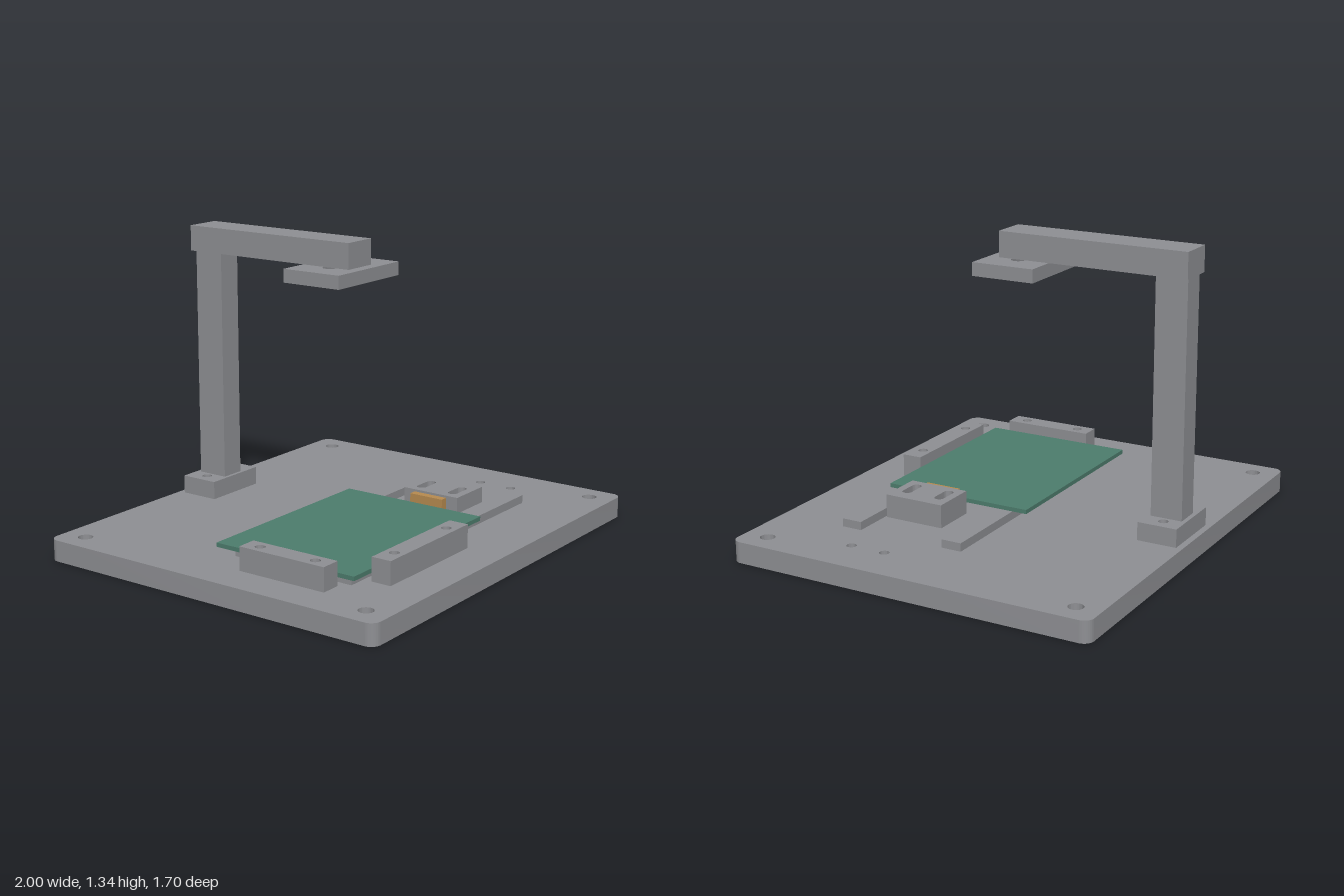
import * as THREE from 'three';
import { toCreasedNormals } from 'three/addons/utils/BufferGeometryUtils.js';

const material = (name, color) => {
  const m = new THREE.MeshStandardMaterial({ color });
  m.name = name;
  return m;
};

// Outline of a slot (or a round hole when half = 0) running along x
function slotPath(x, z, r, half = 0) {
  const p = new THREE.Path();
  p.absarc(x + half, -z, r, -Math.PI / 2, Math.PI / 2, false);
  p.absarc(x - half, -z, r, Math.PI / 2, Math.PI * 1.5, false);
  p.closePath();
  return p;
}

// Rectangle in plan with optional rounded corners
function planShape(x0, x1, z0, z1, r) {
  const s = new THREE.Shape();
  const a = -z1, b = -z0;
  if (r > 0) {
    s.absarc(x1 - r, a + r, r, -Math.PI / 2, 0, false);
    s.absarc(x1 - r, b - r, r, 0, Math.PI / 2, false);
    s.absarc(x0 + r, b - r, r, Math.PI / 2, Math.PI, false);
    s.absarc(x0 + r, a + r, r, Math.PI, Math.PI * 1.5, false);
  } else {
    s.moveTo(x0, a).lineTo(x1, a).lineTo(x1, b).lineTo(x0, b);
  }
  s.closePath();
  return s;
}

export function createModel() {
  const group = new THREE.Group();
  const gray = material('machined gray', 0x8f9094);
  const green = material('board green', 0x4d7d6d);
  const amber = material('pad amber', 0xb88c50);

  // Upright plate with holes given as [x, z, radius, slotHalfLength]
  function plate(name, mat, [x0, x1], [y0, y1], [z0, z1], holes = [], r = 0) {
    const shape = planShape(x0, x1, z0, z1, r);
    holes.forEach((h) => shape.holes.push(slotPath(...h)));
    let geo = new THREE.ExtrudeGeometry(shape, { depth: y1 - y0, bevelEnabled: false, curveSegments: 12 });
    geo.rotateX(-Math.PI / 2);
    geo.translate(0, y0, 0);
    geo = toCreasedNormals(geo, 0.6);
    const mesh = new THREE.Mesh(geo, mat);
    mesh.name = name;
    group.add(mesh);
  }

  const BASE = 0.095, STOP = 0.2, R = 0.022;
  const leftHoles = [[-0.79, 0.14, R], [-0.79, 0.42, R]];
  const frontHoles = [[-0.53, 0.62, R], [-0.145, 0.62, R]];
  const footHoles = [[-0.093, -0.735, R], [0.093, -0.735, R]];
  const clampZ = [0.21, 0.375];

  // Base plate with mounting holes at the corners and under each fixture
  const baseHoles = [...leftHoles, ...frontHoles, ...footHoles];
  for (const z of clampZ) baseHoles.push([0.328, z, R], [0.797, z, R]);
  for (const x of [-0.894, 0.894]) for (const z of [-0.74, 0.74]) baseHoles.push([x, z, 0.033]);
  plate('basePlate', gray, [-1, 1], [0, BASE], [-0.852, 0.852], baseHoles, 0.045);

  // Locating stops
  plate('sideStop', gray, [-0.835, -0.743], [BASE, STOP], [0.068, 0.495], leftHoles);
  plate('frontStop', gray, [-0.623, -0.05], [BASE, STOP], [0.575, 0.667], frontHoles);

  // Support rails and the circuit board lying on them
  for (const z of [-0.014, 0.488]) {
    plate('supportRail', gray, [-0.705, 0.632], [BASE, 0.132], [z - 0.047, z + 0.047]);
  }
  plate('circuitBoard', green, [-0.743, 0.2], [0.132, 0.151], [-0.13, 0.575]);

  // Sliding clamp with adjustment slots and a soft pad
  plate('clampBlock', gray, [0.235, 0.444], [BASE, STOP], [0.152, 0.433],
    clampZ.map((z) => [0.328, z, R, 0.037]));
  plate('clampPad', amber, [0.2, 0.235], [BASE, 0.19], [0.207, 0.375]);

  // Post, overhead arm and slotted head plate
  plate('postFoot', gray, [-0.153, 0.153], [BASE, 0.177], [-0.823, -0.642], footHoles);
  plate('post', gray, [-0.057, 0.057], [0.177, 1.228], [-0.803, -0.658]);
  plate('overheadArm', gray, [-0.083, 0.083], [1.228, 1.343], [-0.812, 0.07]);
  plate('headPlate', gray, [-0.222, 0.222], [1.168, 1.228], [-0.172, 0.12], [[0, -0.027, 0.032, 0.085]]);

  return group;
}
